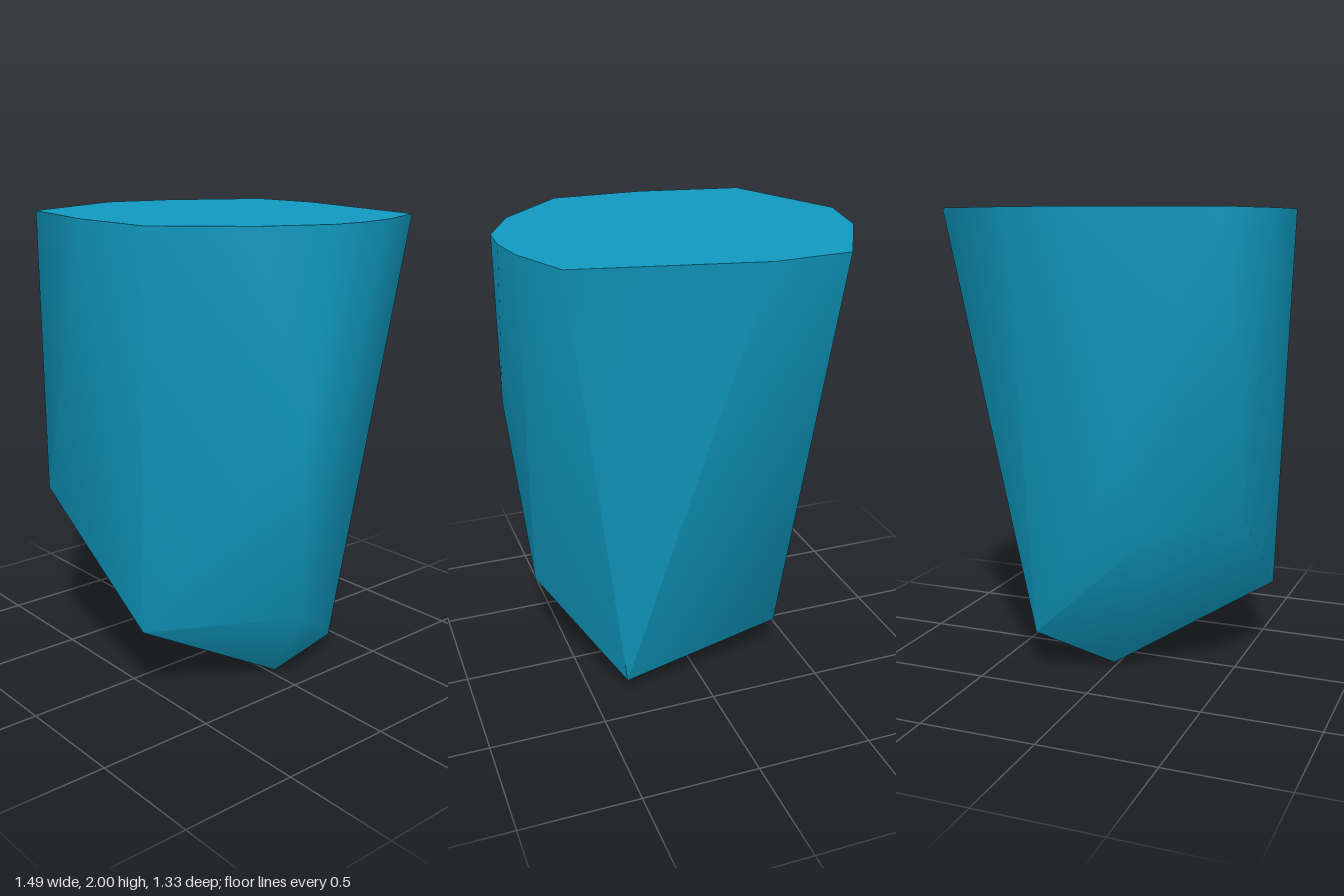
import * as THREE from 'three';
import { ConvexGeometry } from 'three/addons/geometries/ConvexGeometry.js';
import { toCreasedNormals } from 'three/addons/utils/BufferGeometryUtils.js';

// Outline of the flat top, as x, z
const rim = [
  [-0.47, -0.64], [-0.14, -0.665], [0.605, -0.51], [0.715, -0.25], [0.745, -0.08],
  [0.74, 0.08], [0.62, 0.345], [0.335, 0.65], [-0.07, 0.66], [-0.52, 0.58],
  [-0.72, 0.11], [-0.745, 0.055], [-0.73, 0], [-0.685, -0.25],
];

// Corners of the tapering flanks and of the pointed underside, as x, y, z
const flank = [
  [0.72, 1.25, 0.18], [-0.67, 1.07, 0.21], [-0.42, 0.81, 0.635], [-0.6, 0.74, 0.32],
  [0.64, 0.4, 0.1], [0.23, 0.34, 0.61],
];
const underside = [
  [-0.38, 0.19, -0.29], [0.35, 0.075, -0.355], [-0.19, 0.02, 0], [0.34, 0, -0.03],
];

export function createModel() {
  const group = new THREE.Group();
  group.name = 'rock';
  const blueStone = new THREE.MeshStandardMaterial({ color: 0x0f98be });
  blueStone.name = 'blue stone';

  // The rock is a convex block; its gentle facets blend, its sharp edges stay
  const corners = [...rim.map(([x, z]) => [x, 2, z]), ...flank, ...underside]
    .map((p) => new THREE.Vector3(...p));
  const geometry = toCreasedNormals(new ConvexGeometry(corners), 1.0);

  const block = new THREE.Mesh(geometry, blueStone);
  block.name = 'stoneBlock';
  group.add(block);
  return group;
}
